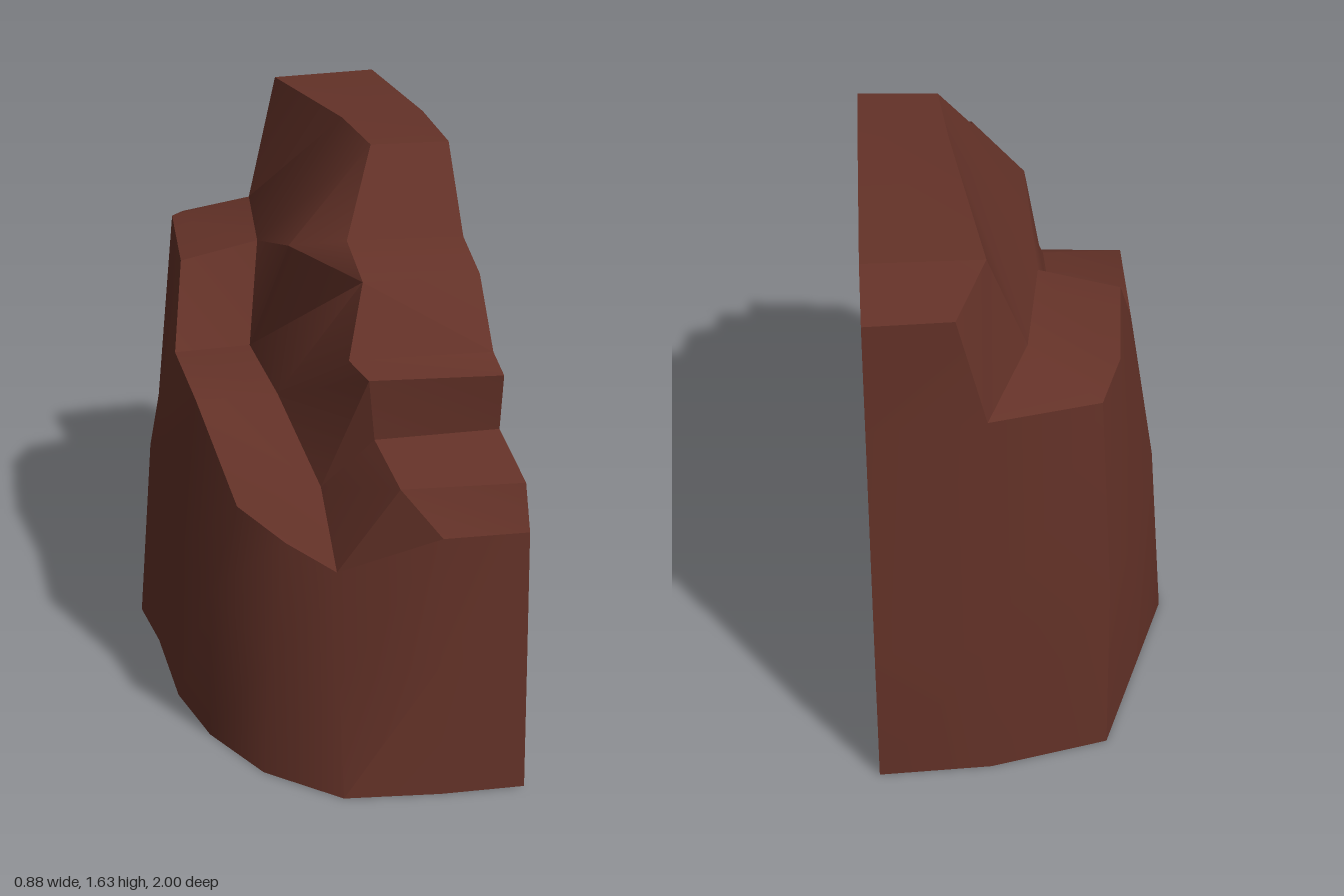
import * as THREE from 'three';
import { toCreasedNormals } from 'three/addons/utils/BufferGeometryUtils.js';

// Skins pairs of chains [lower, upper] that run front -> left -> back.
// Points may repeat within a chain to make triangles.
function ribbons(...pairs) {
  const pos = [];
  const tri = (a, b, c) => {
    if (a !== b && b !== c && a !== c) pos.push(...a, ...b, ...c);
  };
  for (const [lo, up] of pairs) {
    for (let i = 0; i < lo.length - 1; i++) {
      tri(lo[i + 1], lo[i], up[i]);
      tri(lo[i + 1], up[i], up[i + 1]);
    }
  }
  const geo = new THREE.BufferGeometry();
  geo.setAttribute('position', new THREE.Float32BufferAttribute(pos, 3));
  return toCreasedNormals(geo, 0.6);
}

export function createModel() {
  const group = new THREE.Group();
  group.name = 'halfRock';
  const rock = new THREE.MeshStandardMaterial({ color: 0x643228, side: THREE.DoubleSide });
  rock.name = 'redBrownRock';
  const add = (name, geo) => {
    const mesh = new THREE.Mesh(geo, rock);
    mesh.name = name;
    group.add(mesh);
  };

  // ground outline
  const base = [
    [0.44, 0, 1], [0.2, 0, 0.99], [-0.07, 0, 0.955], [-0.26, 0, 0.77],
    [-0.37, 0, 0.53], [-0.42, 0, 0.28], [-0.42, 0, -0.08], [-0.44, 0, -0.3],
    [-0.33, 0, -0.6], [-0.22, 0, -0.9], [0.12, 0, -0.985], [0.44, 0, -1],
  ];
  // slightly bulging middle of the lower wall
  const middle = [
    [0.44, 0.4, 0.98], [0.2, 0.4, 0.97], [-0.07, 0.33, 0.89], [-0.23, 0.35, 0.75],
    [-0.36, 0.47, 0.53], [-0.395, 0.5, 0.28], [-0.4, 0.55, -0.09], [-0.4, 0.58, -0.29],
    [-0.32, 0.55, -0.64], [-0.22, 0.55, -0.88], [0.12, 0.45, -0.98], [0.44, 0.45, -0.995],
  ];
  // top rim of the lower wall, which is the outer edge of the side ledge
  const rim = [
    [0.44, 0.77, 0.96], [0.2, 0.77, 0.95], [-0.06, 0.63, 0.81], [-0.18, 0.68, 0.7],
    [-0.285, 0.73, 0.54], [-0.35, 0.95, 0.27], [-0.345, 0.955, -0.11], [-0.29, 1.18, -0.3],
    [-0.25, 1.2, -0.69], [-0.19, 1.165, -0.84], [0.12, 1.17, -0.92], [0.44, 1.17, -0.945],
  ];
  // inner edge of the side ledge, foot of the upper wall
  const foot = [
    rim[1], rim[2], [-0.05, 0.78, 0.57], [-0.11, 0.95, 0.27],
    [-0.115, 0.96, -0.11], [-0.055, 1.235, -0.28], [0, 1.25, -0.68], rim[10],
  ];
  // stepped crest, front to back
  const crest = [
    [0.1, 0.89, 0.87], [0.08, 0.95, 0.66], [0.06, 1.13, 0.67], [0.03, 1.15, 0.56],
    [0.1, 1.33, 0.43], [0.1, 1.39, 0.24], [0.21, 1.62, 0.07], [0.115, 1.605, -0.81],
    [0.2, 1.49, -0.92],
  ];
  // profile along the open side, given as [y, z]
  const cut = [
    [0.895, 0.91], [0.95, 0.66], [1.12, 0.685], [1.15, 0.58], [1.33, 0.43],
    [1.385, 0.26], [1.62, 0.085], [1.61, -0.82], [1.49, -0.93],
  ].map(([y, z]) => [0.44, y, z]);
  const ridge = [0.44, 1.635, -0.2];
  const ridgeLeft = [0.19, 1.63, -0.2];
  const shoulder = [-0.04, 1.34, 0.1];

  const [f0, f1, f2, f3, f4, f5, f6, f7] = foot;
  const [t0, t1, t2, t3, t4, t5, t6, t7, t8] = crest;

  // lower wall, carried up to the top at the back
  add('lowerWall', ribbons(
    [base, middle], [middle, rim],
    [[rim[10], rim[11]], [t8, cut[8]]],
  ));

  // sloping ledge round the side
  add('sideLedge', ribbons(
    [rim.slice(2, 11), [f1, f1, f2, f3, f4, f5, f6, f6, f7]],
  ));

  // upper wall from ledge to crest
  add('upperWall', ribbons(
    [[f0, f1, f2, f2, f3, f3, f4, f5], [t0, t0, t1, t2, t3, t4, shoulder, shoulder]],
    [[t4, shoulder, shoulder, f5, f5, f6, f7], [t4, t5, t6, t6, ridgeLeft, t7, t8]],
  ));

  // steps and flat top reaching the open side
  add('steppedTop', ribbons([
    [rim[1], ...crest.slice(0, 7), ridgeLeft, t7, t8],
    [rim[0], ...cut.slice(0, 7), ridge, cut[7], cut[8]],
  ]));

  return group;
}
